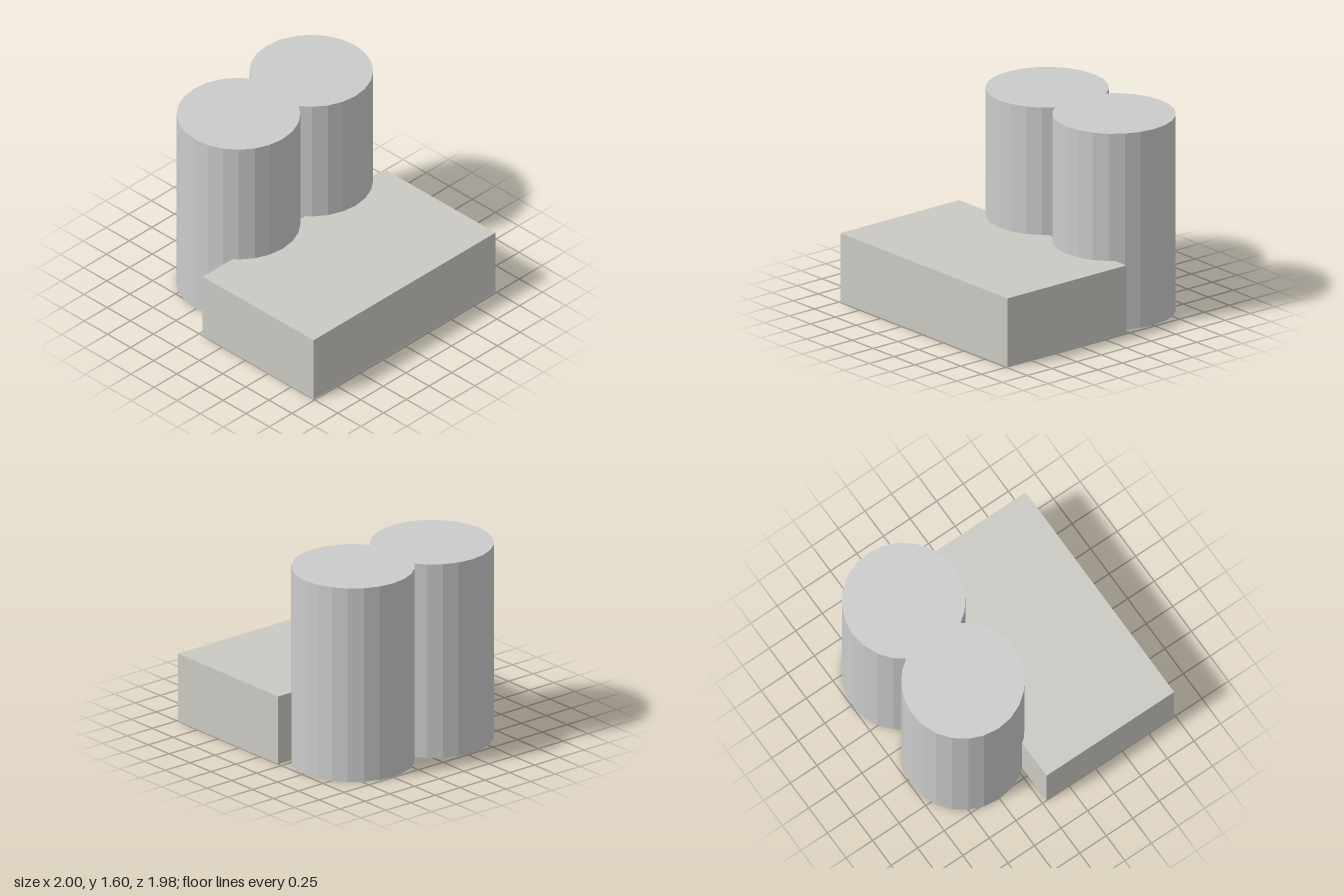
import * as THREE from 'three';

export function createModel() {
  const group = new THREE.Group();
  const grey = new THREE.MeshStandardMaterial({ color: 0xcccccc, flatShading: true });
  const stone = new THREE.MeshStandardMaterial({ color: 0xcbc9c3, flatShading: true });

  // Low slab in front
  const base = new THREE.Mesh(new THREE.BoxGeometry(2, 0.56, 1.2), stone);
  base.name = 'baseBlock';
  base.position.set(0, 0.28, 0.388);
  group.add(base);

  // Two overlapping towers, faceted, standing on the ground behind the slab
  const towerGeometry = new THREE.CylinderGeometry(0.478, 0.478, 1.6, 24);
  for (const [name, x] of [['rightTower', -0.302], ['leftTower', 0.498]]) {
    const tower = new THREE.Mesh(towerGeometry, grey);
    tower.name = name;
    tower.position.set(x, 0.8, -0.511);
    group.add(tower);
  }
  return group;
}
